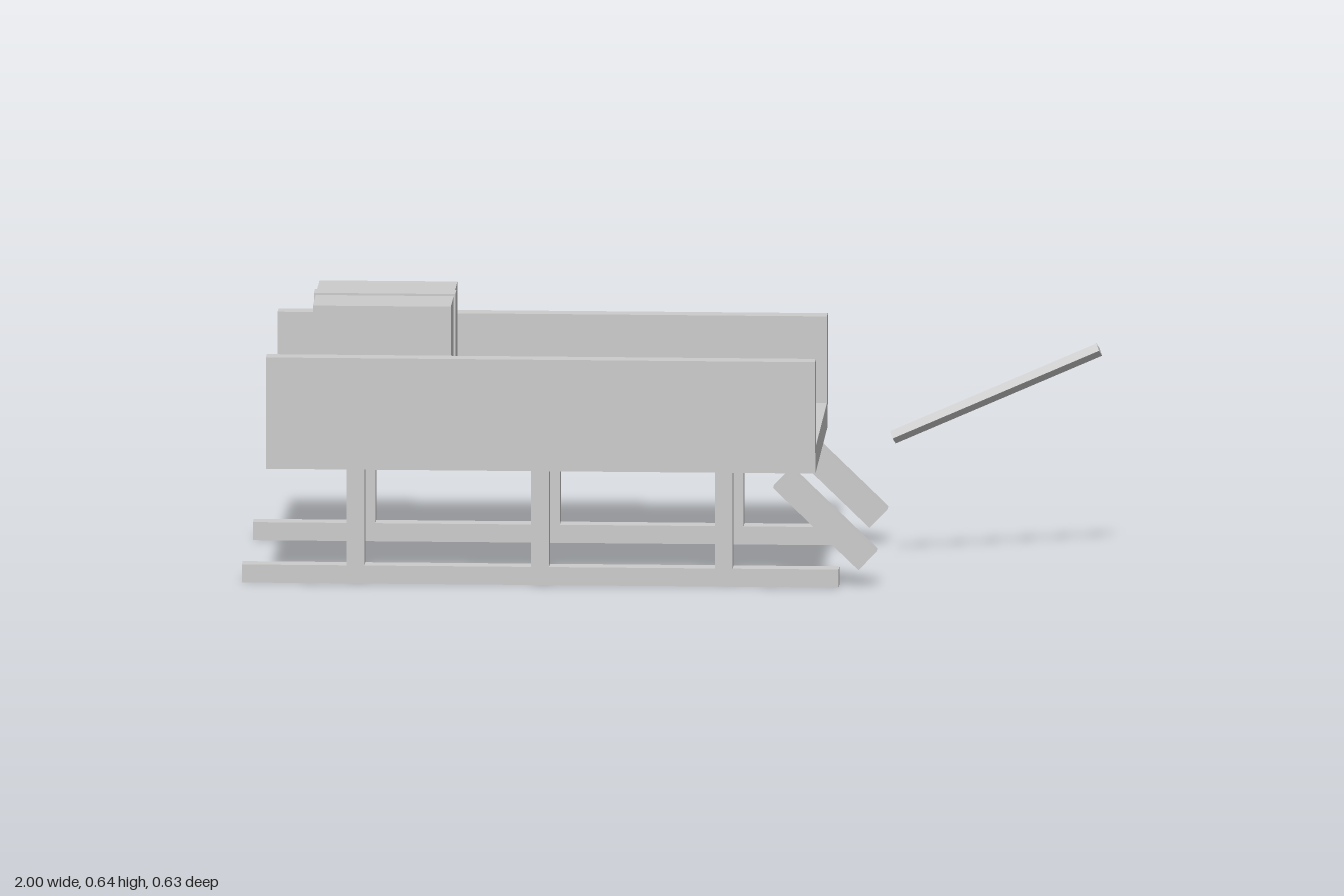
import * as THREE from 'three';

export function createModel() {
  const sled = new THREE.Group();
  sled.name = 'sled';
  const grey = new THREE.MeshStandardMaterial({ color: 0xcccccc });
  grey.name = 'light grey';
  grey.flatShading = true;

  // Box given by its limits on each axis
  function box(name, [x0, x1], [y0, y1], [z0, z1]) {
    const mesh = new THREE.Mesh(new THREE.BoxGeometry(x1 - x0, y1 - y0, z1 - z0), grey);
    mesh.position.set((x0 + x1) / 2, (y0 + y1) / 2, (z0 + z1) / 2);
    mesh.name = name;
    sled.add(mesh);
    return mesh;
  }

  // Cargo bed
  const length = [-0.943, 0.343];
  box('deck', length, [0.272, 0.334], [-0.297, 0.297]);

  for (const side of [1, -1]) {
    const z = (a, b) => (side > 0 ? [a, b] : [-b, -a]);
    box('sideBoard', length, [0.323, 0.54], z(0.271, 0.313));

    // Runner with its posts
    const track = z(0.249, 0.291);
    box('runner', [-1, 0.397], [0, 0.043], track);
    for (const x of [-0.734, -0.302, 0.128]) {
      box('post', [x - 0.021, x + 0.021], [0.043, 0.272], track);
    }

    // Sloping brace at the tip of the runner
    const brace = box('runnerBrace', [0.226, 0.504], [0.13, 0.192], track);
    brace.position.set(0.365, 0.161, side * 0.27);
    brace.rotation.z = -0.77;
  }

  // Parcel with a raised strap
  box('parcel', [-0.84, -0.517], [0.334, 0.636], [-0.161, 0.161]);
  box('parcelStrap', [-0.844, -0.513], [0.334, 0.641], [-0.026, 0.026]);

  // Four-sided pull handle
  const handle = new THREE.Mesh(new THREE.CylinderGeometry(0.016, 0.016, 0.528, 4), grey);
  handle.name = 'pullHandle';
  handle.position.set(0.752, 0.411, 0);
  handle.rotation.z = 0.415 - Math.PI / 2;
  sled.add(handle);

  return sled;
}
